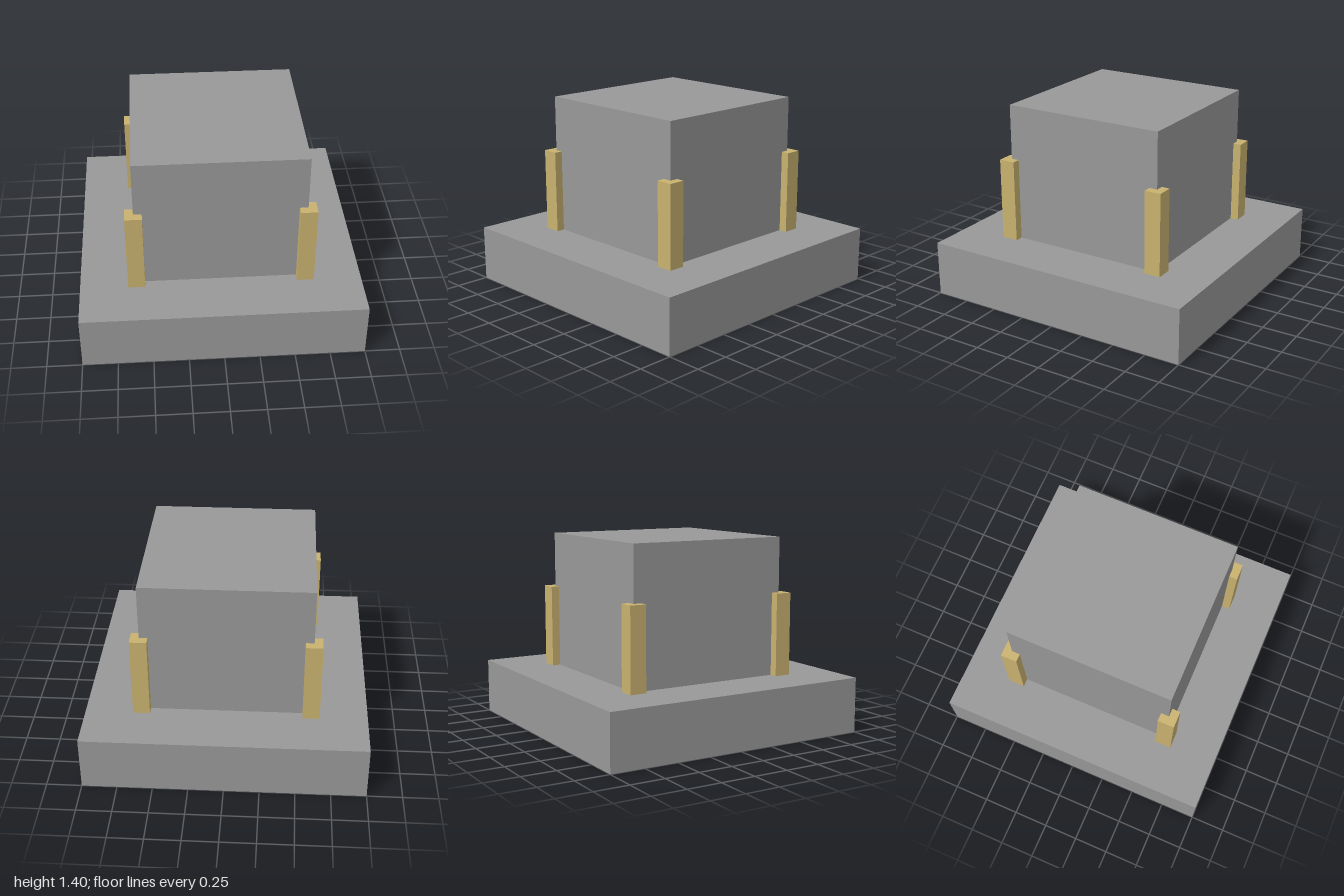
import * as THREE from 'three';

export function createModel() {
  const model = new THREE.Group();
  model.name = 'pedestal';

  const stone = new THREE.MeshStandardMaterial({ color: 0x989898 });
  stone.name = 'grey stone';
  const gold = new THREE.MeshStandardMaterial({ color: 0xc9b26f });
  gold.name = 'pale gold';

  // Adds a box whose underside sits at the given height
  function addBox(name, width, height, bottom, material, x = 0, z = 0) {
    const mesh = new THREE.Mesh(new THREE.BoxGeometry(width, height, width), material);
    mesh.name = name;
    mesh.position.set(x, bottom + height / 2, z);
    model.add(mesh);
  }

  // Wide base slab and the block standing on it
  addBox('base', 2, 0.4, 0, stone);
  addBox('block', 1.2, 1, 0.4, stone);

  // Square posts centred on the block's vertical edges
  for (const x of [-0.6, 0.6]) {
    for (const z of [-0.6, 0.6]) {
      const name = (z > 0 ? 'front' : 'back') + (x > 0 ? 'Left' : 'Right') + 'Post';
      addBox(name, 0.12, 0.6, 0.4, gold, x, z);
    }
  }

  return model;
}
